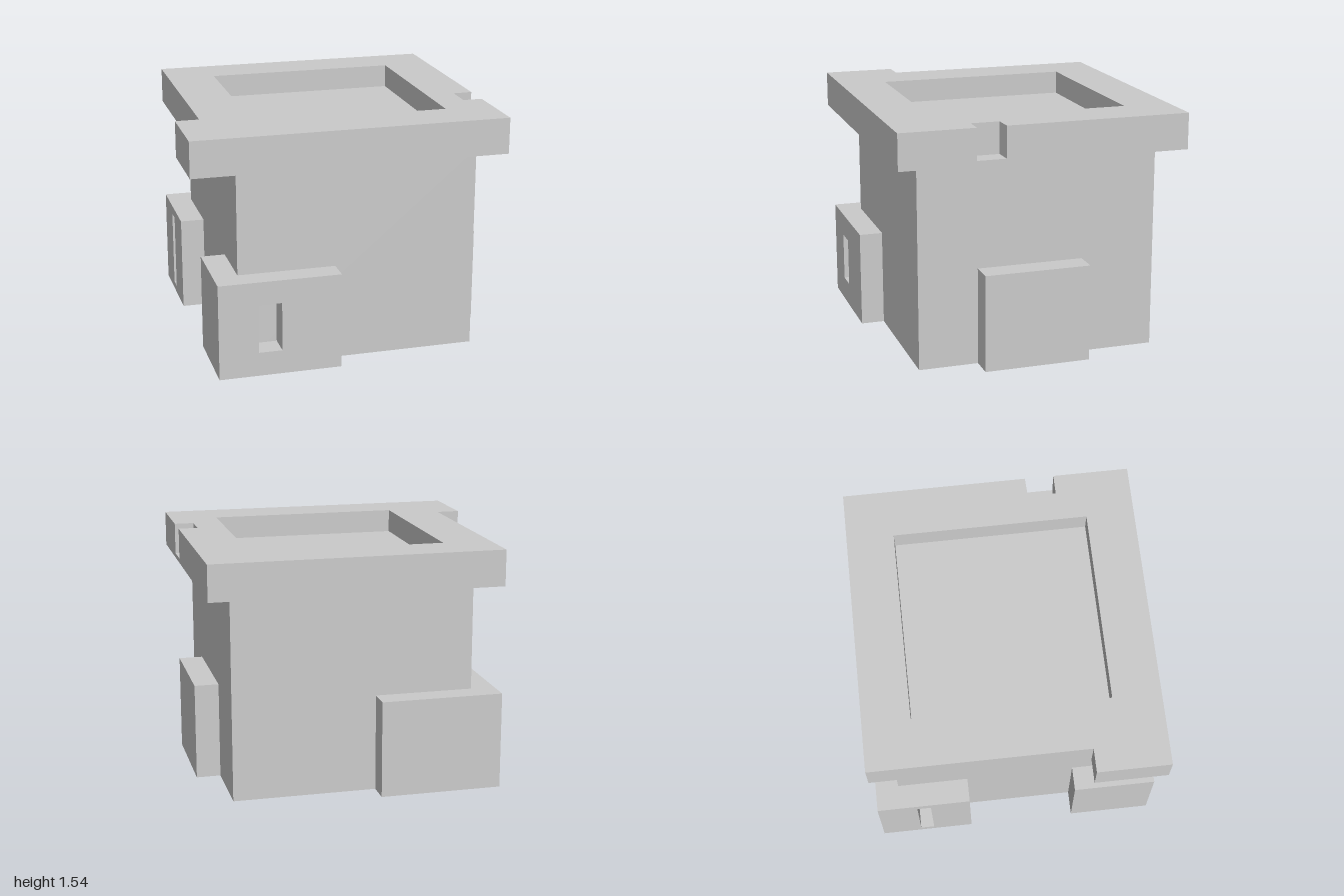
import * as THREE from 'three';

const material = new THREE.MeshStandardMaterial({ color: 0xcccccc, flatShading: true });

const polygon = (points, Type = THREE.Shape) => new Type(points.map(([x, y]) => new THREE.Vector2(x, y)));
const rect = (a, b, c, d) => [[a, c], [b, c], [b, d], [a, d]];

function extrude(outline, hole, depth) {
  const shape = polygon(outline);
  if (hole) shape.holes.push(polygon(hole, THREE.Path));
  return new THREE.ExtrudeGeometry(shape, { depth, bevelEnabled: false });
}

function add(group, name, geometry) {
  const mesh = new THREE.Mesh(geometry, material);
  mesh.name = name;
  group.add(mesh);
}

// Box given by its limits on each axis
function box(x0, x1, y0, y1, z0, z1) {
  return new THREE.BoxGeometry(x1 - x0, y1 - y0, z1 - z0)
    .translate((x0 + x1) / 2, (y0 + y1) / 2, (z0 + z1) / 2);
}

// Horizontal slab from a plan outline of [x, z] points
function slab(outline, hole, y0, y1) {
  const flip = (pts) => pts && pts.map(([x, z]) => [x, -z]);
  return extrude(flip(outline), flip(hole), y1 - y0).rotateX(-Math.PI / 2).translate(0, y0, 0);
}

export function createModel() {
  const model = new THREE.Group();
  const H = 0.62; // height of the base blocks

  // Main body
  add(model, 'body', box(-0.695, 0.845, 0, 1.31, -0.77, 0.77));

  // Block around the front left-hand corner, with a window through its front
  const frontBlock = new THREE.Group();
  frontBlock.name = 'frontCornerBlock';
  add(frontBlock, 'frontPanel',
    extrude(rect(-0.85, -0.07, 0, H), rect(-0.6, -0.45, 0.155, 0.47), 0.15).translate(0, 0, 0.77));
  add(frontBlock, 'frontReturn', box(-0.85, -0.695, 0, H, 0.39, 0.77));
  model.add(frontBlock);

  // Block around the back corner, with a narrow slot through its side
  const backBlock = new THREE.Group();
  backBlock.name = 'backCornerBlock';
  add(backBlock, 'slottedPanel',
    extrude(rect(-0.92, -0.31, 0, H), rect(-0.66, -0.57, 0.05, 0.56), 0.155)
      .rotateY(-Math.PI / 2).translate(-0.695, 0, 0));
  add(backBlock, 'backPanel', box(-0.695, -0.07, 0, H, -0.92, -0.77));
  model.add(backBlock);

  // Plain block on the +x side
  add(model, 'sideBlock', box(0.845, 1, 0, H, -0.29, 0.39));

  // Top slab with a corner tab, an edge notch and a square recess
  const tab = [[-0.85, -0.92], [-0.85, 0.46], [-1, 0.46], [-1, 0.92], [1, 0.92]];
  const notch = [[1, 0.44], [0.875, 0.44], [0.875, 0.26], [1, 0.255]];
  const corner = [[1, -0.92]];
  const recess = rect(-0.54, 0.69, -0.62, 0.615);
  const top = new THREE.Group();
  top.name = 'topSlab';
  add(top, 'slabBottom', slab([...tab, ...corner], null, 1.31, 1.34));
  add(top, 'recessFloor', slab([...tab, ...notch, ...corner], null, 1.34, 1.39));
  add(top, 'rim', slab([...tab, ...notch, ...corner], recess, 1.39, 1.54));
  model.add(top);

  return model;
}
